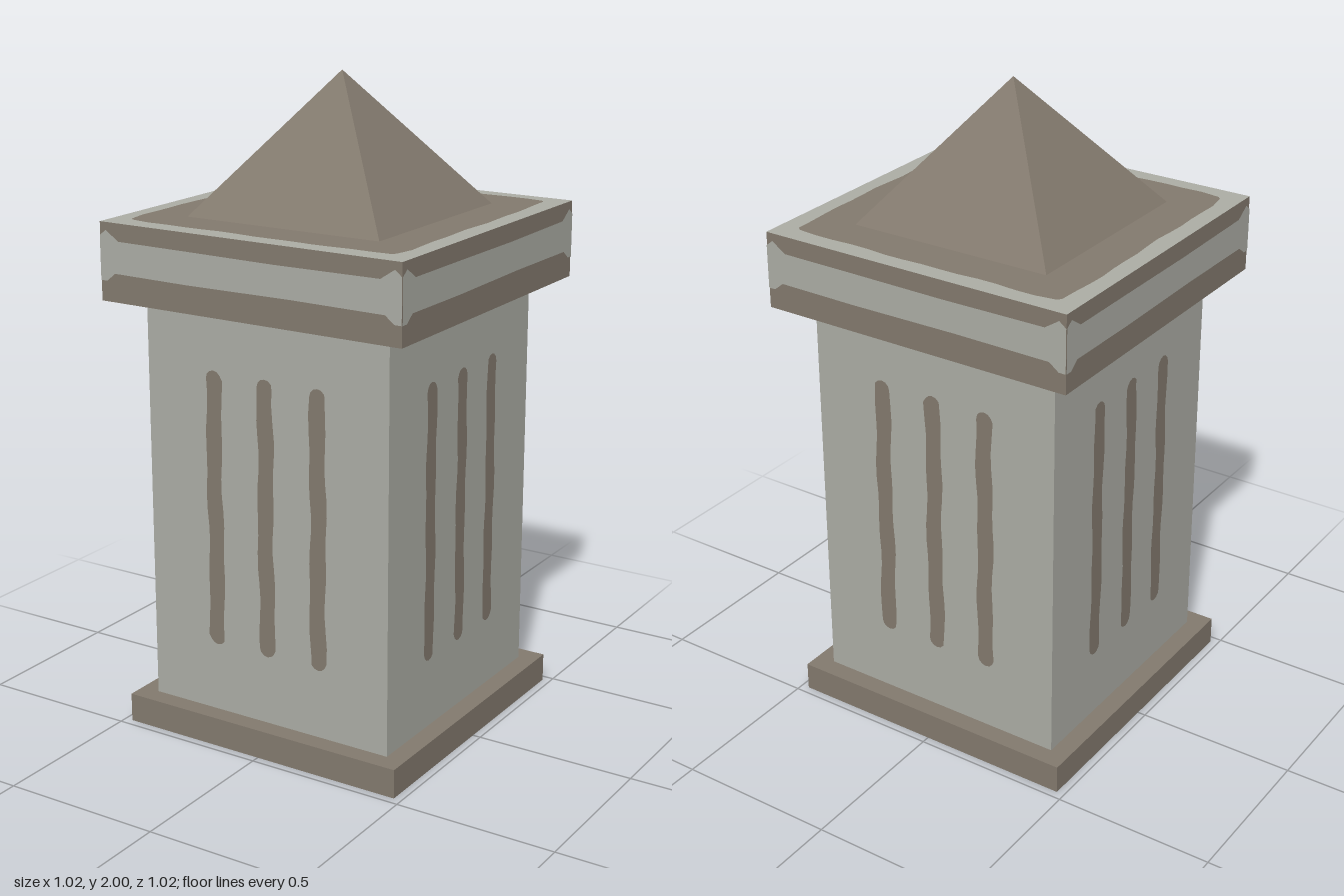
import * as THREE from 'three';

export function createModel() {
  const stone = new THREE.MeshStandardMaterial({ color: 0xacada5 });
  stone.name = 'paleStone';
  const brown = new THREE.MeshStandardMaterial({ color: 0x837a6e });
  brown.name = 'brownStone';

  const model = new THREE.Group();
  model.name = 'stonePillar';

  const add = (parent, name, geometry, material, x = 0, y = 0, z = 0) => {
    const mesh = new THREE.Mesh(geometry, material);
    mesh.name = name;
    mesh.position.set(x, y, z);
    parent.add(mesh);
    return mesh;
  };

  const OFFSET = 0.002; // painted details sit just proud of the stone
  const wobble = (t, seed) => 0.0025 * (Math.sin(t * 13 + seed * 2.1) + Math.sin(t * 29 + seed * 4.7));
  const outline = (points) => new THREE.ShapeGeometry(new THREE.Shape(points));
  const v = (x, y) => new THREE.Vector2(x, y);

  // Plinth, shaft and cap slab
  add(model, 'plinth', new THREE.BoxGeometry(0.95, 0.09, 0.95), brown, 0, 0.045, 0);
  add(model, 'shaft', new THREE.BoxGeometry(0.83, 1.26, 0.83), stone, 0, 0.72, 0);
  add(model, 'cap', new THREE.BoxGeometry(1.014, 0.235, 1.014),
    [brown, brown, stone, stone, brown, brown], 0, 1.4675, 0);

  // Four-sided pyramid roof
  const roof = new THREE.ConeGeometry(0.328 * Math.SQRT2, 0.415, 4, 1, true).toNonIndexed();
  roof.rotateY(Math.PI / 4);
  roof.computeVertexNormals();
  add(model, 'pyramidRoof', roof, brown, 0, 1.7925, 0);

  // Upright groove with rounded ends and slightly worn sides
  function grooveGeometry(seed) {
    const r = 0.027, low = 0.305 + r, high = 1.165 - r, steps = 16;
    const points = [];
    for (let i = 0; i <= steps; i++) {
      const y = low + (high - low) * i / steps;
      points.push(v(r + wobble(y, seed), y));
    }
    for (let i = 1; i < 6; i++) {
      const a = Math.PI * i / 6;
      points.push(v(r * Math.cos(a), high + r * Math.sin(a)));
    }
    for (let i = steps; i >= 0; i--) {
      const y = low + (high - low) * i / steps;
      points.push(v(-r + wobble(y, seed + 3), y));
    }
    for (let i = 1; i < 6; i++) {
      const a = Math.PI * (1 + i / 6);
      points.push(v(r * Math.cos(a), low + r * Math.sin(a)));
    }
    return outline(points);
  }

  // Pale band around the cap, flared towards each corner
  const bandGeometry = outline([
    v(-0.507, 1.412), v(-0.485, 1.412), v(-0.455, 1.436), v(-0.2, 1.434), v(0.15, 1.437),
    v(0.455, 1.435), v(0.485, 1.412), v(0.507, 1.412),
    v(0.507, 1.545), v(0.485, 1.562), v(0.44, 1.532), v(0.1, 1.529), v(-0.2, 1.531),
    v(-0.44, 1.532), v(-0.485, 1.562), v(-0.507, 1.545),
  ]);

  // Same decoration on all four sides
  for (let side = 0; side < 4; side++) {
    const face = new THREE.Group();
    face.name = 'sideDecoration' + (side + 1);
    face.rotation.y = side * Math.PI / 2;
    [-0.18, 0, 0.18].forEach((x, i) =>
      add(face, 'groove' + (i + 1), grooveGeometry(side * 3 + i), brown, x, 0, 0.415 + OFFSET));
    add(face, 'capBand', bandGeometry, stone, 0, 0, 0.507 + OFFSET);
    model.add(face);
  }

  // Worn brown panel inset on the top and underside of the cap
  const panelPoints = [];
  for (let side = 0; side < 4; side++) {
    const angle = side * Math.PI / 2;
    for (let i = 0; i <= 14; i++) {
      const t = -0.435 + 0.87 * i / 14;
      const edge = i === 0 || i === 14 ? 0.446 : 0.453 + wobble(t, side);
      panelPoints.push(v(edge, t).rotateAround(v(0, 0), angle));
    }
  }
  const panel = outline(panelPoints);
  add(model, 'capTopPanel', panel, brown, 0, 1.585 + OFFSET, 0).rotation.x = -Math.PI / 2;
  add(model, 'capUndersidePanel', panel, brown, 0, 1.35 - OFFSET, 0).rotation.x = Math.PI / 2;

  return model;
}
